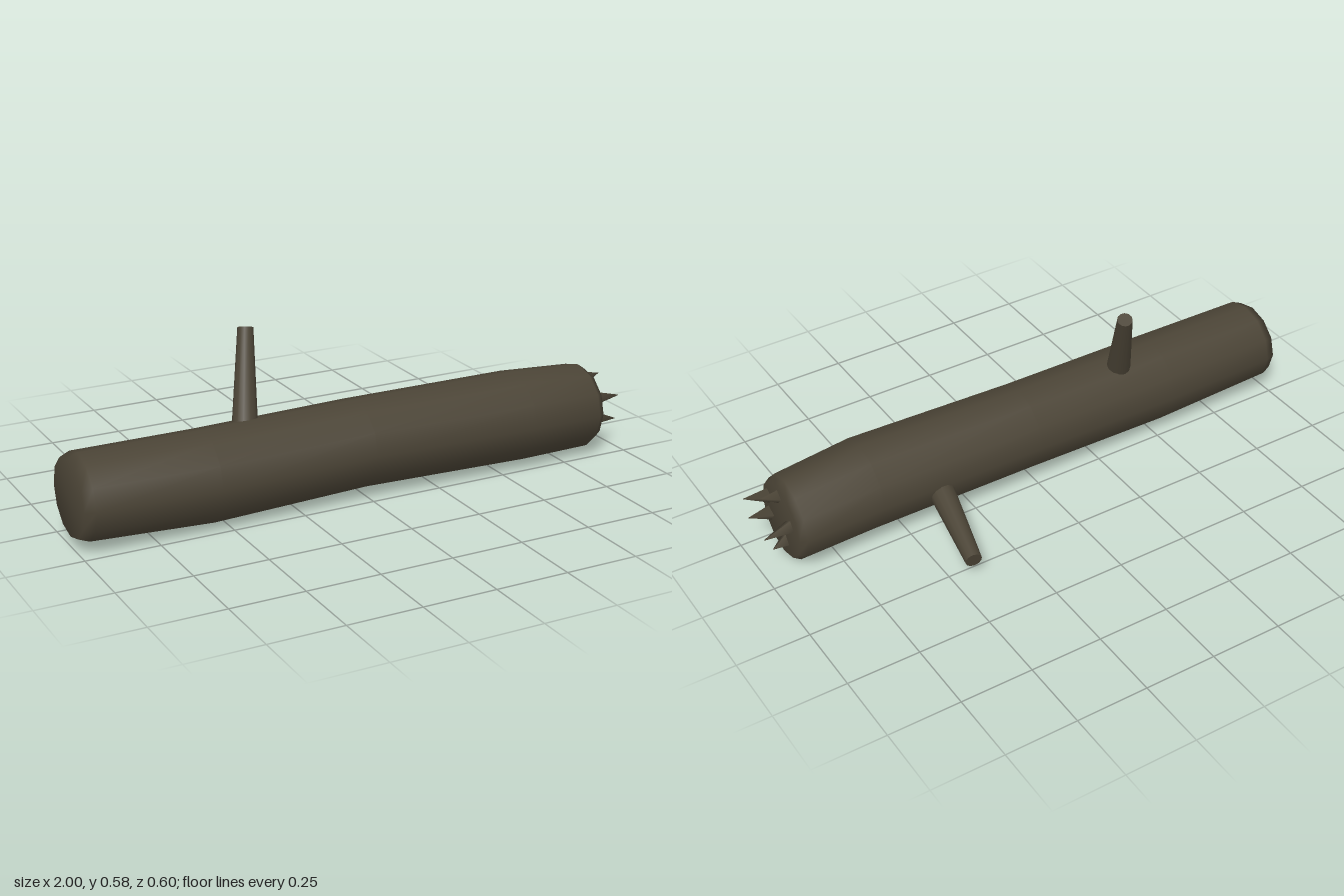
import * as THREE from 'three';

const bark = new THREE.MeshStandardMaterial({ color: 0x4b4436 });
bark.name = 'bark';

// Trunk: twelve-sided rings along x, [x, bottom, top, back, front]
function trunkGeometry() {
  const sides = 12;
  const rings = [
    [-1.0, 0.038, 0.295, -0.005, 0.265],
    [-0.965, 0.024, 0.31, -0.018, 0.278],
    [-0.55, 0.004, 0.312, -0.02, 0.285],
    [0, 0.02, 0.32, -0.026, 0.277],
    [0.6, 0.012, 0.325, -0.02, 0.298],
    [0.875, 0.009, 0.305, -0.018, 0.276],
    [0.9, 0.026, 0.288, -0.005, 0.26],
  ];
  const pos = [], index = [];
  for (const [x, y0, y1, z0, z1] of rings) {
    for (let j = 0; j < sides; j++) {
      const a = (j / sides) * Math.PI * 2;
      pos.push(x, (y0 + y1) / 2 + Math.cos(a) * (y1 - y0) / 2, (z0 + z1) / 2 + Math.sin(a) * (z1 - z0) / 2);
    }
  }
  const last = (rings.length - 1) * sides, cap = rings.length * sides;
  pos.push(-1, 0.165, 0.13, 0.9, 0.157, 0.128);
  for (let j = 0; j < sides; j++) {
    const k = (j + 1) % sides;
    for (let i = 0; i < last; i += sides) {
      index.push(i + j, i + k, i + sides + j, i + k, i + sides + k, i + sides + j);
    }
    index.push(cap, k, j, cap + 1, last + j, last + k);
  }
  const g = new THREE.BufferGeometry();
  g.setAttribute('position', new THREE.Float32BufferAttribute(pos, 3));
  g.setIndex(index);
  g.computeVertexNormals();
  return g;
}

// Tapered piece running between two points
function taper(name, from, to, r0, r1, sides) {
  const a = new THREE.Vector3(...from), b = new THREE.Vector3(...to);
  const dir = b.clone().sub(a);
  const mesh = new THREE.Mesh(new THREE.CylinderGeometry(r1, r0, dir.length(), sides), bark);
  mesh.name = name;
  mesh.position.copy(a).add(b).multiplyScalar(0.5);
  mesh.quaternion.setFromUnitVectors(new THREE.Vector3(0, 1, 0), dir.normalize());
  return mesh;
}

export function createModel() {
  const model = new THREE.Group();
  model.name = 'fallenLog';

  const trunk = new THREE.Mesh(trunkGeometry(), bark);
  trunk.name = 'trunk';
  model.add(trunk);

  // Broken branch stubs
  model.add(taper('upperBranch', [-0.392, 0.255, 0.104], [-0.325, 0.573, -0.023], 0.044, 0.026, 12));
  model.add(taper('rearBranch', [0.37, 0.142, 0.045], [0.431, 0.073, -0.292], 0.046, 0.028, 12));

  // Splinters on the snapped end: [y, z, tip x]
  const splinters = [
    [0.255, 0.135, 0.96], [0.203, 0.22, 0.98], [0.125, 0.22, 0.97],
    [0.08, 0.103, 0.95], [0.177, 0.05, 1.0],
  ];
  for (const [y, z, tip] of splinters) {
    const dy = (y - 0.16) * 0.08, dz = (z - 0.135) * 0.12;
    model.add(taper('splinter', [0.89, y - dy, z - dz], [tip, y + dy, z + dz], 0.03, 0.001, 4));
  }
  return model;
}
